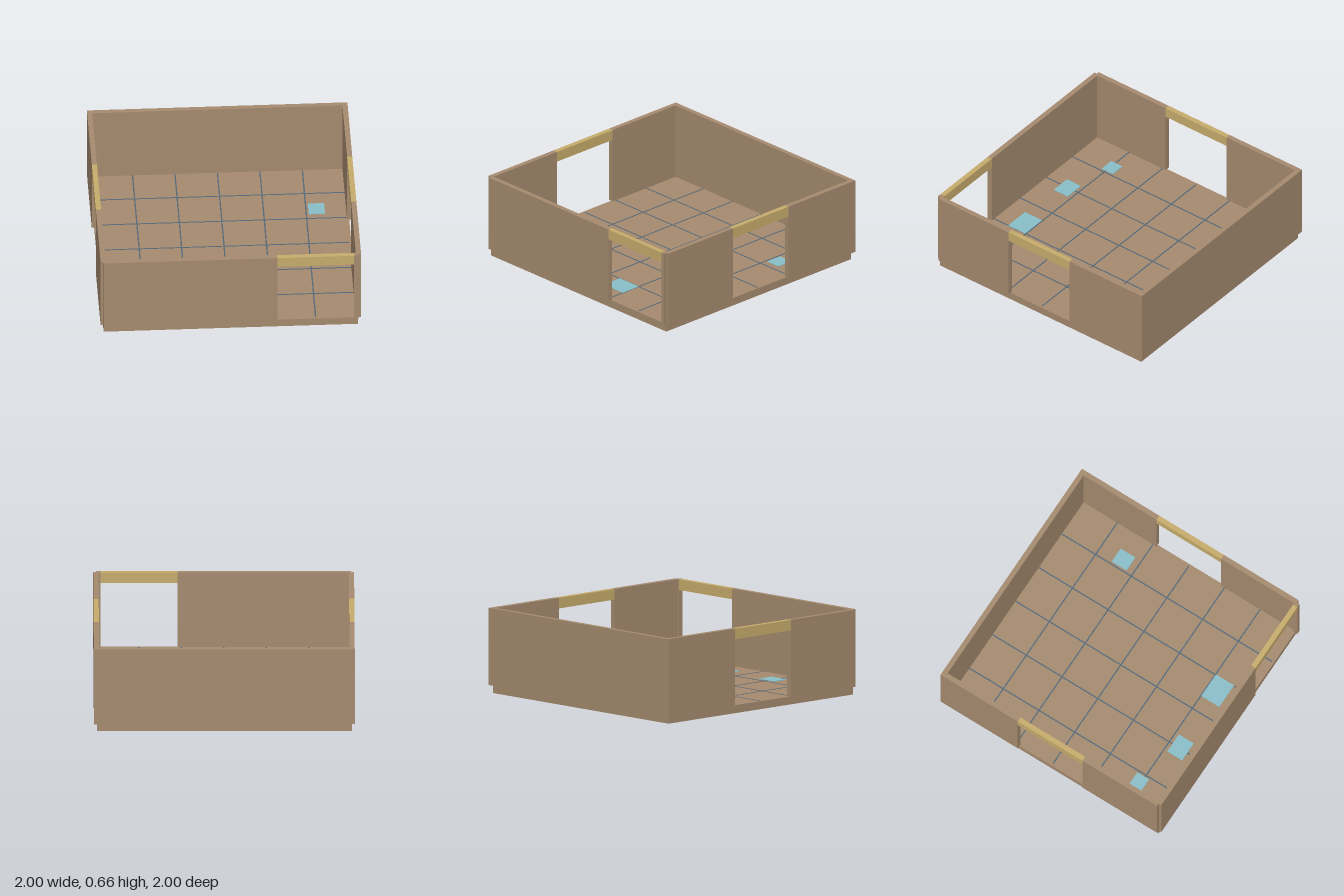
import * as THREE from 'three';

const mat = (name, color) => {
  const m = new THREE.MeshStandardMaterial({ color });
  m.name = name;
  return m;
};

export function createModel() {
  const model = new THREE.Group();
  model.name = 'room';
  const clay = mat('clay brown', 0xa68b6f);
  const tan = mat('lintel tan', 0xc8ad6c);
  const slate = mat('joint slate', 0x566a7a);
  const blue = mat('pale blue', 0x8ac0cb);

  // Box given by its minimum and maximum corners
  const box = (name, material, [x0, y0, z0], [x1, y1, z1]) => {
    const mesh = new THREE.Mesh(new THREE.BoxGeometry(x1 - x0, y1 - y0, z1 - z0), material);
    mesh.position.set((x0 + x1) / 2, (y0 + y1) / 2, (z0 + z1) / 2);
    mesh.name = name;
    model.add(mesh);
  };

  const floor = 0.062, head = 0.58, top = 0.662; // floor, door head and wall heights
  const inner = 0.96, slab = 0.977, outer = 1, door = 0.295;

  box('floorSlab', clay, [-slab, 0, -slab], [slab, floor, slab]);
  box('backWall', clay, [-outer, floor, -outer], [outer, top, -inner]);

  // Front wall with a doorway near its left end
  box('frontWall', clay, [-slab, floor, inner], [0.355, top, outer]);
  box('frontDoorPost', clay, [0.945, floor, inner], [slab, top, outer]);
  box('frontLintel', tan, [0.355, head, inner], [0.945, top, outer]);

  // Side walls, each with a central doorway
  for (const [side, x0, x1] of [['left', inner, outer], ['right', -outer, -inner]]) {
    box(side + 'WallBack', clay, [x0, floor, -inner], [x1, top, -door]);
    box(side + 'WallFront', clay, [x0, floor, door], [x1, top, slab]);
    box(side + 'Lintel', tan, [x0, head, -door], [x1, top, door]);
  }

  // Floor joints
  for (let i = -2; i <= 2; i++) {
    const c = i * 0.326, w = 0.005;
    box('floorJointLengthwise', slate, [c - w, floor, -inner], [c + w, floor + 0.002, inner]);
    box('floorJointCrosswise', slate, [-inner, floor, c - w], [inner, floor + 0.0018, c + w]);
  }

  // Thin floor patches: centre x, centre z, width, depth
  for (const [x, z, w, d] of [
    [0.733, -0.448, 0.125, 0.135], [-0.728, 0.636, 0.12, 0.108],
    [-0.318, 0.75, 0.165, 0.135], [0.225, 0.738, 0.21, 0.165],
  ]) box('floorPatch', blue, [x - w / 2, floor, z - d / 2], [x + w / 2, floor + 0.005, z + d / 2]);

  return model;
}
